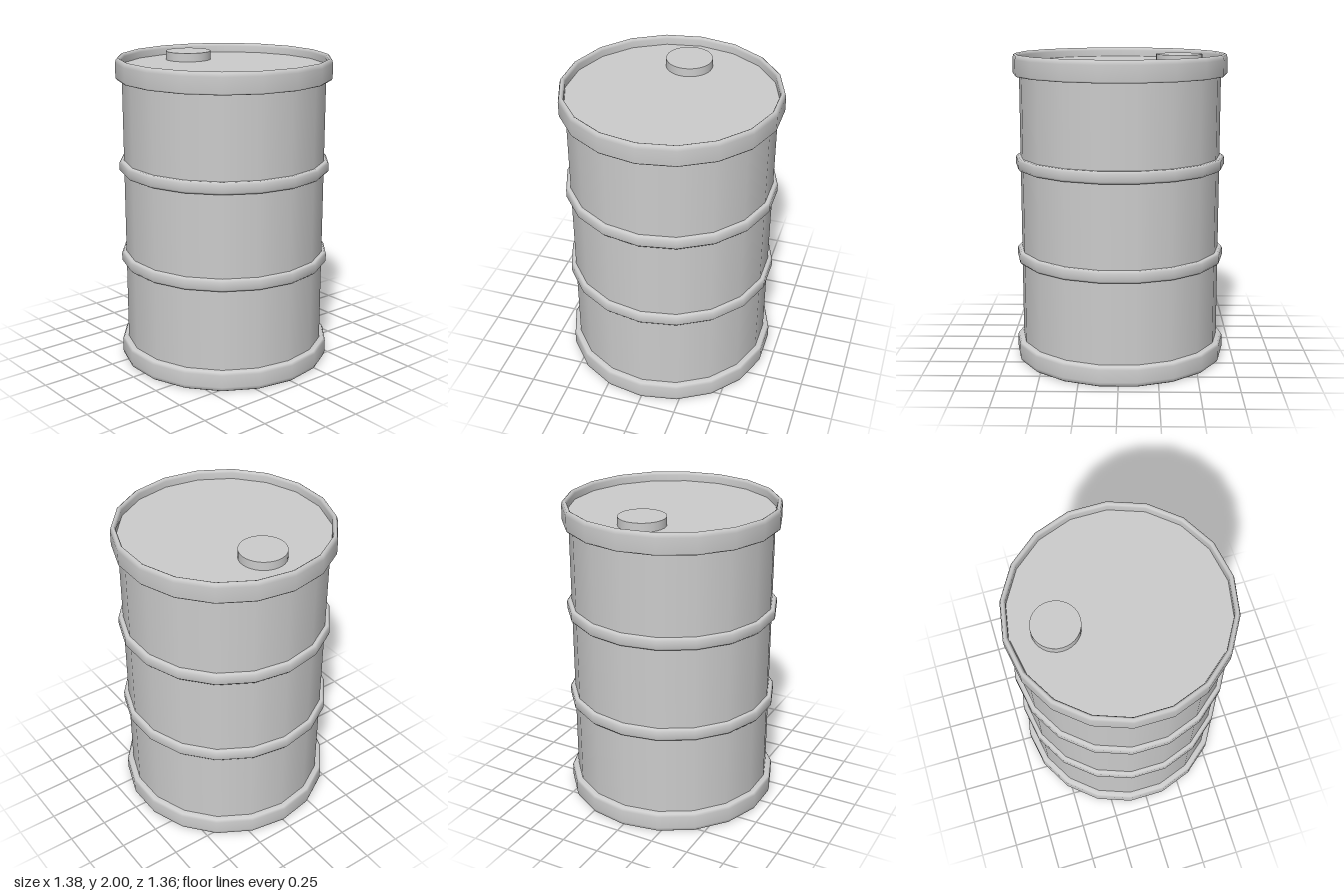
import * as THREE from 'three';

const SIDES = 18;
const material = new THREE.MeshStandardMaterial({ color: 0xcccccc });

// Turned part; profile points are [radius, height], outer skin listed upwards
function turned(name, profile) {
  const points = profile.map(([r, y]) => new THREE.Vector2(r, y));
  const geometry = new THREE.LatheGeometry(points, SIDES, Math.PI / SIDES);
  const mesh = new THREE.Mesh(geometry, material);
  mesh.name = name;
  return mesh;
}

export function createModel() {
  const drum = new THREE.Group();
  drum.name = 'drum';

  // Straight wall
  drum.add(turned('wall', [[0.65, 0.05], [0.65, 1.95]]));

  // Rolled end rims, each wrapping round to an inner lip
  drum.add(turned('topRim', [
    [0.64, 1.865], [0.682, 1.865], [0.69, 1.875], [0.69, 1.97],
    [0.684, 1.992], [0.673, 2], [0.662, 1.994], [0.656, 1.98], [0.656, 1.935],
  ]));
  drum.add(turned('bottomRim', [
    [0.656, 0.045], [0.656, 0.015], [0.662, 0.005], [0.673, 0], [0.684, 0.008],
    [0.69, 0.03], [0.69, 0.11], [0.68, 0.127], [0.64, 0.132],
  ]));

  // Two rolling hoops
  [0.697, 1.307].forEach((y, i) => {
    drum.add(turned(i ? 'upperHoop' : 'lowerHoop', [
      [0.64, y - 0.038], [0.668, y - 0.038], [0.68, y - 0.024],
      [0.68, y + 0.024], [0.668, y + 0.038], [0.64, y + 0.038],
    ]));
  });

  // Recessed lid and base
  drum.add(turned('lid', [[0.66, 1.94], [0, 1.94]]));
  drum.add(turned('base', [[0, 0.03], [0.66, 0.03]]));

  // Filler cap
  const cap = new THREE.Mesh(new THREE.CylinderGeometry(0.148, 0.148, 0.06, 32), material);
  cap.name = 'fillerCap';
  cap.position.set(-0.38, 1.965, 0);
  drum.add(cap);

  return drum;
}
